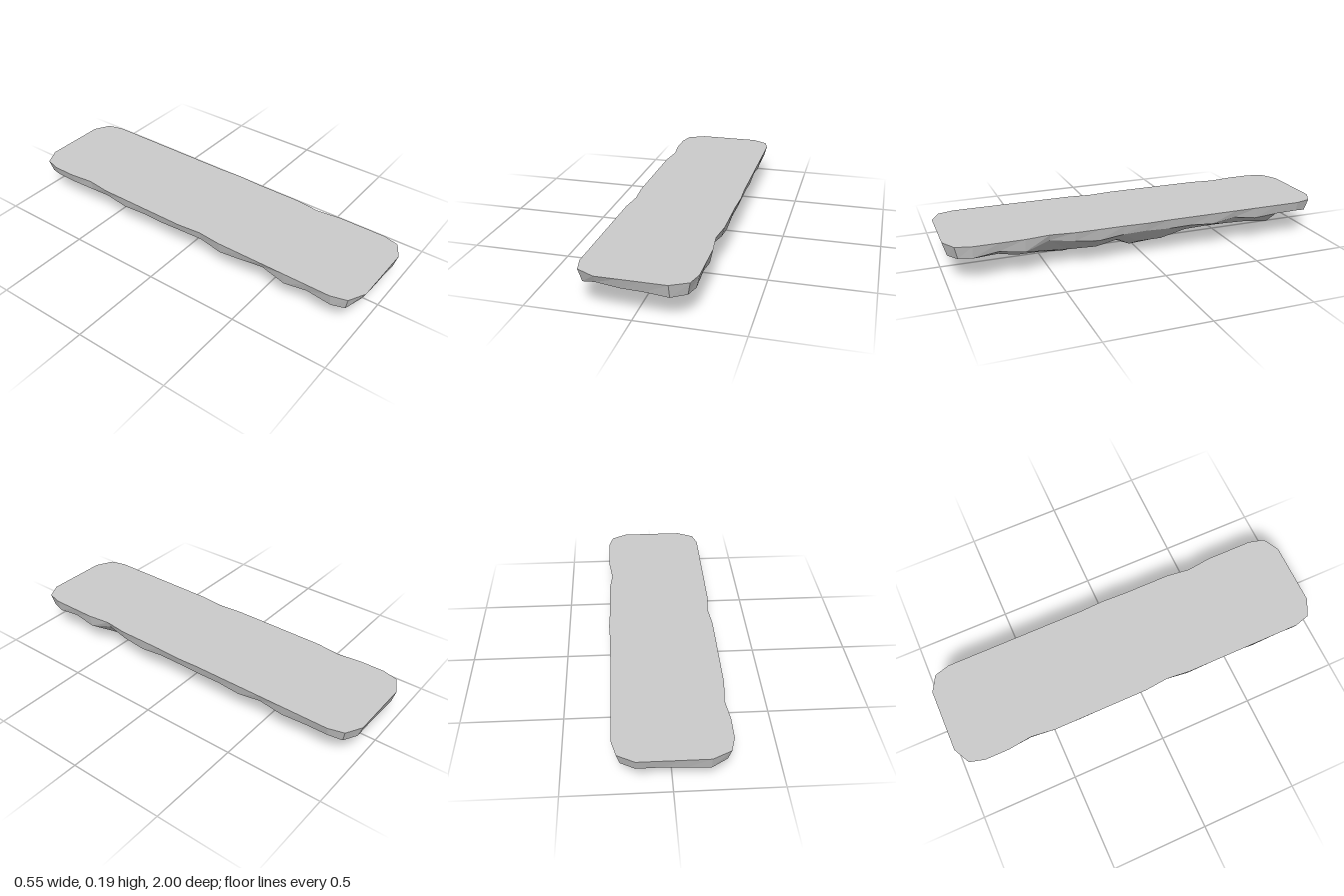
import * as THREE from 'three';

const COLS = 6, ROWS = 17, TOP = 0.19;
const colX = [-0.275, -0.165, -0.055, 0.05, 0.163, 0.266];
// Heights from back (z = -1) to front (z = 1)
const rim = [0.13, 0.14, 0.138, 0.13, 0.15, 0.13, 0.14, 0.138, 0.145, 0.14, 0.125, 0.14, 0.158, 0.12, 0.142, 0.125, 0.125];
const keel = [0.13, 0.09, 0.015, 0.05, 0.06, 0.05, 0.032, 0.012, 0, 0.045, 0.02, 0.015, 0, 0.028, 0.045, 0.105, 0.133];
const frontLip = [0.12, 0.152, 0.137, 0.133, 0.122, 0.12];
// Rows where the side edge is nicked inward
const nicks = { '0,3': 0.015, '0,9': 0.012, '5,12': -0.015, '5,8': 0.005 };

function makeRandom(seed) {
  return () => (seed = (seed * 16807) % 2147483647) / 2147483647;
}

function slabGeometry() {
  const rand = makeRandom(71);
  const jitter = (a) => (rand() - 0.5) * 2 * a;
  const top = [], bottom = [];

  for (let j = 0; j < ROWS; j++) {
    for (let i = 0; i < COLS; i++) {
      const side = i === 0 || i === COLS - 1;
      const end = j === 0 || j === ROWS - 1;
      let x = colX[i] + (nicks[`${i},${j}`] || 0);
      let z = -1 + j * 0.125;
      // Clipped corners
      if (side && end) { x *= 0.92; z *= 0.955; }
      top.push(x, TOP, z);

      // Rugged underside: rim, sloping flank, then keel
      let y;
      if (side) {
        x *= 0.945;
        y = rim[j];
        if (end) z *= 0.985;
      } else if (end) {
        y = j ? frontLip[i] : rim[j] + jitter(0.01);
        z *= 0.98;
      } else {
        const flank = i === 1 || i === COLS - 2;
        const keelSide = j === 8 ? 3 : j === 12 ? 2 : j % 2 + 2;
        y = flank
          ? Math.max(0.05, THREE.MathUtils.lerp(rim[j], keel[j], 0.5) + jitter(0.02))
          : keel[j] + (i === keelSide ? 0 : rand() * 0.025);
        x += jitter(0.014);
        z += jitter(0.018);
      }
      bottom.push(x, y, z);
    }
  }

  const index = [], n = COLS * ROWS;
  const id = (i, j) => j * COLS + i;
  for (let j = 0; j < ROWS - 1; j++) {
    for (let i = 0; i < COLS - 1; i++) {
      const a = id(i, j), b = id(i + 1, j), c = id(i + 1, j + 1), d = id(i, j + 1);
      index.push(a, d, c, a, c, b);
      index.push(a + n, c + n, d + n, a + n, b + n, c + n);
    }
  }

  // Wall around the perimeter
  const loop = [];
  for (let i = 0; i < COLS - 1; i++) loop.push(id(i, ROWS - 1));
  for (let j = ROWS - 1; j > 0; j--) loop.push(id(COLS - 1, j));
  for (let i = COLS - 1; i > 0; i--) loop.push(id(i, 0));
  for (let j = 0; j < ROWS - 1; j++) loop.push(id(0, j));
  loop.forEach((p, k) => {
    const q = loop[(k + 1) % loop.length];
    index.push(p + n, q + n, q, p + n, q, p);
  });

  const geometry = new THREE.BufferGeometry();
  geometry.setAttribute('position', new THREE.Float32BufferAttribute([...top, ...bottom], 3));
  geometry.setIndex(index);
  const faceted = geometry.toNonIndexed();
  faceted.computeVertexNormals();
  return faceted;
}

export function createModel() {
  const group = new THREE.Group();
  group.name = 'floatingRockPlatform';
  const material = new THREE.MeshStandardMaterial({ color: 0xcccccc, flatShading: true });
  const slab = new THREE.Mesh(slabGeometry(), material);
  slab.name = 'rockSlab';
  group.add(slab);
  return group;
}
